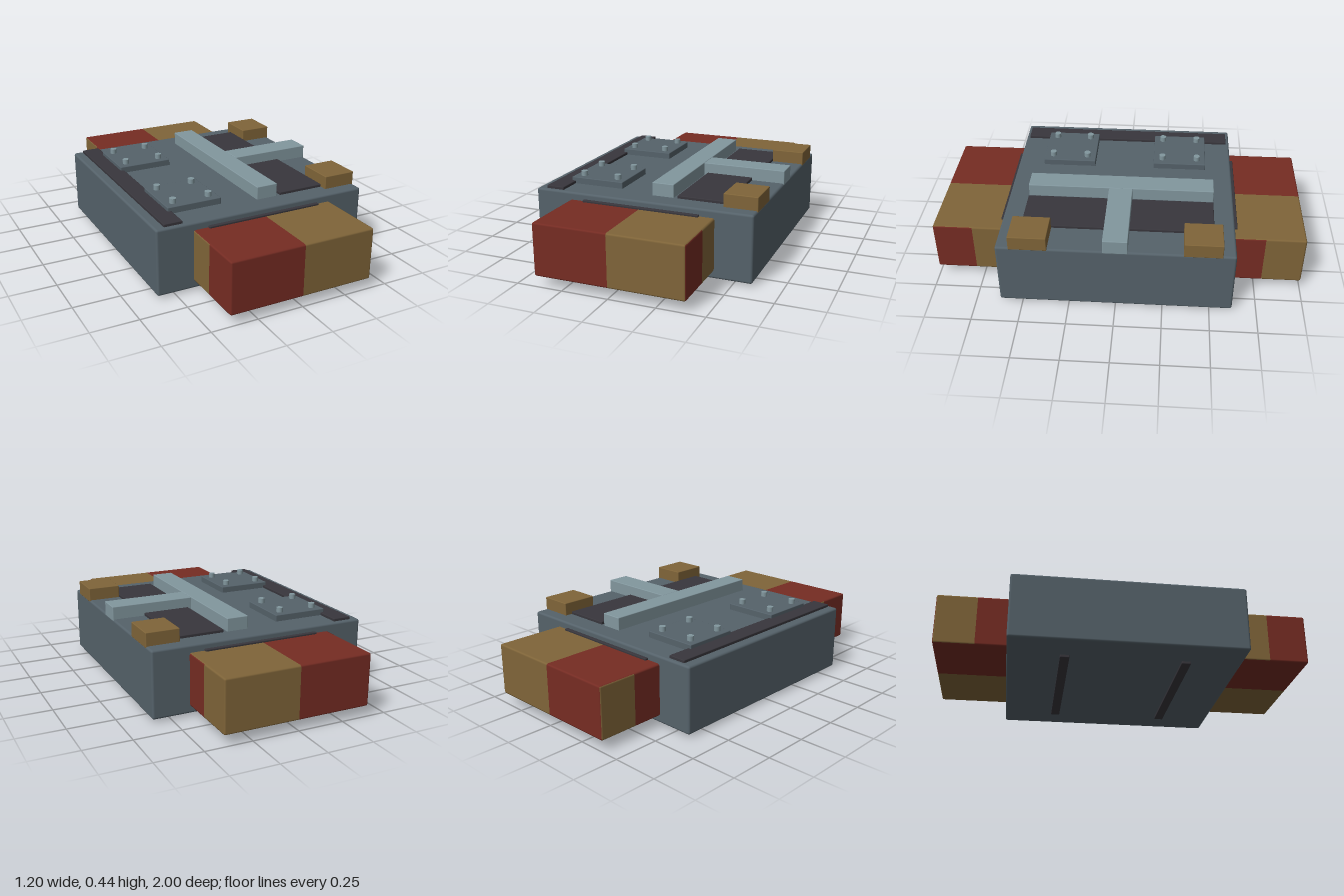
import * as THREE from 'three';
import { RoundedBoxGeometry } from 'three/addons/geometries/RoundedBoxGeometry.js';

const paint = (name, color) => {
  const m = new THREE.MeshStandardMaterial({ color });
  m.name = name;
  return m;
};

// Bevelled box whose faces are each split in two colour groups:
// the end faces, top and bottom at x = 0, the sides at z = 0.
function splitBlockGeometry(w, h, d, r) {
  const geo = new THREE.BoxGeometry(4, 4, 4, 4, 4, 4);
  const pos = geo.attributes.position, nor = geo.attributes.normal;
  const half = new THREE.Vector3(w / 2, h / 2, d / 2);
  const p = new THREE.Vector3(), inner = new THREE.Vector3();
  const place = (v, s) => (Math.abs(v) < 0.5 ? 0 : Math.sign(v) * (Math.abs(v) > 1.5 ? s : s - r));

  // Colour is chosen per triangle from the plain grid
  const index = geo.index.array, parts = [[], []];
  for (const g of geo.groups) {
    const axis = g.materialIndex < 2 ? 'getZ' : 'getX';
    for (let i = g.start; i < g.start + g.count; i += 3) {
      const tri = [index[i], index[i + 1], index[i + 2]];
      const mid = tri.reduce((sum, v) => sum + pos[axis](v), 0);
      const red = g.materialIndex < 2 ? mid > 0 : mid < 0;
      parts[red ? 0 : 1].push(...tri);
    }
  }

  // Pull the outer ring onto the bevel
  for (let i = 0; i < pos.count; i++) {
    p.set(place(pos.getX(i), half.x), place(pos.getY(i), half.y), place(pos.getZ(i), half.z));
    inner.copy(p).clamp(half.clone().subScalar(r).negate(), half.clone().subScalar(r));
    const n = p.sub(inner).normalize();
    nor.setXYZ(i, n.x, n.y, n.z);
    inner.addScaledVector(n, r);
    pos.setXYZ(i, inner.x, inner.y, inner.z);
  }
  geo.setIndex([...parts[0], ...parts[1]]);
  geo.clearGroups();
  geo.addGroup(0, parts[0].length, 0);
  geo.addGroup(parts[0].length, parts[1].length, 1);
  return geo;
}

export function createModel() {
  const model = new THREE.Group();
  model.name = 'armouredModule';

  const steel = paint('slate steel', 0x55626a);
  const light = paint('pale steel', 0x82979e);
  const dark = paint('dark rubber', 0x38363c);
  const red = paint('rust red', 0x762c23);
  const tan = paint('ochre', 0x806539);

  // Box given by its minimum and maximum corners
  const box = (name, mat, [x0, y0, z0], [x1, y1, z1], r = 0.004) => {
    const mesh = new THREE.Mesh(new RoundedBoxGeometry(x1 - x0, y1 - y0, z1 - z0, 2, r), mat);
    mesh.position.set((x0 + x1) / 2, (y0 + y1) / 2, (z0 + z1) / 2);
    mesh.name = name;
    model.add(mesh);
  };

  // Hull and the fittings along its top
  box('hull', steel, [-0.6, 0.015, -0.62], [0.6, 0.375, 0.62], 0.012);
  box('edgeStrip', dark, [-0.55, 0.36, -0.6], [-0.45, 0.39, 0.6]);
  box('recessPanel', dark, [0.16, 0.36, -0.51], [0.42, 0.39, 0.51]);
  box('longBeam', light, [0.02, 0.365, -0.51], [0.14, 0.445, 0.51]);
  box('crossBeam', light, [0.14, 0.365, -0.065], [0.6, 0.445, 0.065]);

  const blockGeo = splitBlockGeometry(0.8, 0.28, 0.43, 0.01);
  const boltGeo = new THREE.CylinderGeometry(0.018, 0.018, 0.035, 12);

  for (const s of [1, -1]) {
    const end = s > 0 ? 'front' : 'back';

    // Two-tone end block and the seal behind it
    const block = new THREE.Mesh(blockGeo, [red, tan]);
    block.name = end + 'EndBlock';
    block.position.set(0, 0.195, s * 0.785);
    model.add(block);
    box(end + 'Seal', dark, [-0.32, 0.3, s * 0.62 - 0.018], [0.32, 0.345, s * 0.62 + 0.018]);

    // Corner pad and underside runner
    box(end + 'CornerPad', tan, [0.42, 0.365, s * 0.45 - 0.1], [0.6, 0.445, s * 0.45 + 0.1]);
    box(end + 'Runner', dark, [-0.42, 0, s * 0.32 - 0.025], [0.42, 0.025, s * 0.32 + 0.025]);

    // Bolted access plate
    box(end + 'AccessPlate', steel, [-0.47, 0.365, s * 0.32 - 0.15], [-0.17, 0.41, s * 0.32 + 0.15]);
    for (const dx of [-0.1, 0.1]) for (const dz of [-0.1, 0.1]) {
      const bolt = new THREE.Mesh(boltGeo, light);
      bolt.name = end + 'PlateBolt';
      bolt.position.set(-0.32 + dx, 0.4185, s * 0.32 + dz);
      model.add(bolt);
    }
  }
  return model;
}
